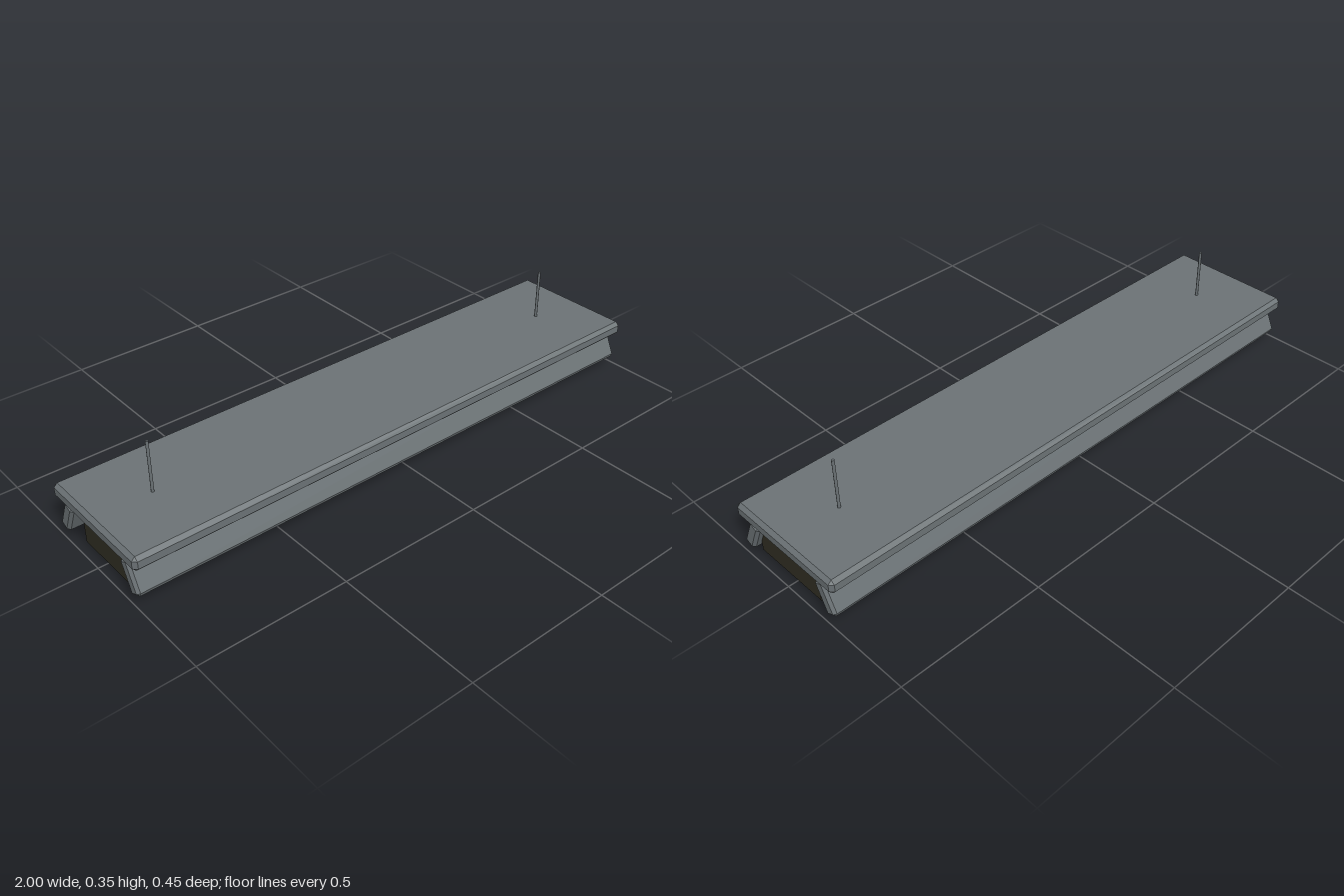
import * as THREE from 'three';
import { ConvexGeometry } from 'three/addons/geometries/ConvexGeometry.js';

// Box with every edge and corner cut flat by c
function chamferBox(w, h, d, c) {
  const points = [];
  for (const x of [-1, 1]) for (const y of [-1, 1]) for (const z of [-1, 1]) {
    const X = w / 2, Y = h / 2, Z = d / 2;
    points.push(
      new THREE.Vector3(x * X, y * (Y - c), z * (Z - c)),
      new THREE.Vector3(x * (X - c), y * Y, z * (Z - c)),
      new THREE.Vector3(x * (X - c), y * (Y - c), z * Z)
    );
  }
  return new ConvexGeometry(points);
}

export function createModel() {
  const group = new THREE.Group();
  const grey = new THREE.MeshStandardMaterial({ name: 'greyMetal', color: 0x6b7275 });
  const dark = new THREE.MeshStandardMaterial({ name: 'darkHousing', color: 0x302e23 });
  const tan = new THREE.MeshStandardMaterial({ name: 'warmLight', color: 0xb99b64 });

  const add = (name, geometry, material, x, y, z) => {
    const mesh = new THREE.Mesh(geometry, material);
    mesh.name = name;
    mesh.position.set(x, y, z);
    group.add(mesh);
    return mesh;
  };

  // Broad top cover
  add('topCover', chamferBox(2, 0.049, 0.452, 0.012), grey, 0, 0.1515, 0);

  // Flared shades along the front and back
  const shade = chamferBox(1.99, 0.114, 0.045, 0.009);
  for (const s of [1, -1]) {
    const panel = add(s > 0 ? 'frontShade' : 'backShade', shade, grey, 0, 0.079, s * 0.175);
    panel.rotation.x = -s * THREE.MathUtils.degToRad(25);
  }

  // End sockets and hanging rods
  const socket = chamferBox(0.09, 0.1, 0.3, 0.009);
  const rod = new THREE.CylinderGeometry(0.005, 0.005, 0.185, 8);
  for (const s of [1, -1]) {
    const side = s > 0 ? 'left' : 'right';
    add(side + 'Socket', socket, dark, s * 0.925, 0.051, 0.0255);
    add(side + 'Rod', rod, grey, s * 0.8, 0.2585, 0);
  }

  // Pair of long light bars between the sockets
  const bar = new THREE.BoxGeometry(1.78, 0.06, 0.06);
  add('backLightBar', bar, tan, 0, 0.046, -0.04);
  add('frontLightBar', bar, tan, 0, 0.046, 0.09);

  // Shift so the sockets rest on the ground
  group.children.forEach((part) => { part.position.y -= 0.001; });
  return group;
}
